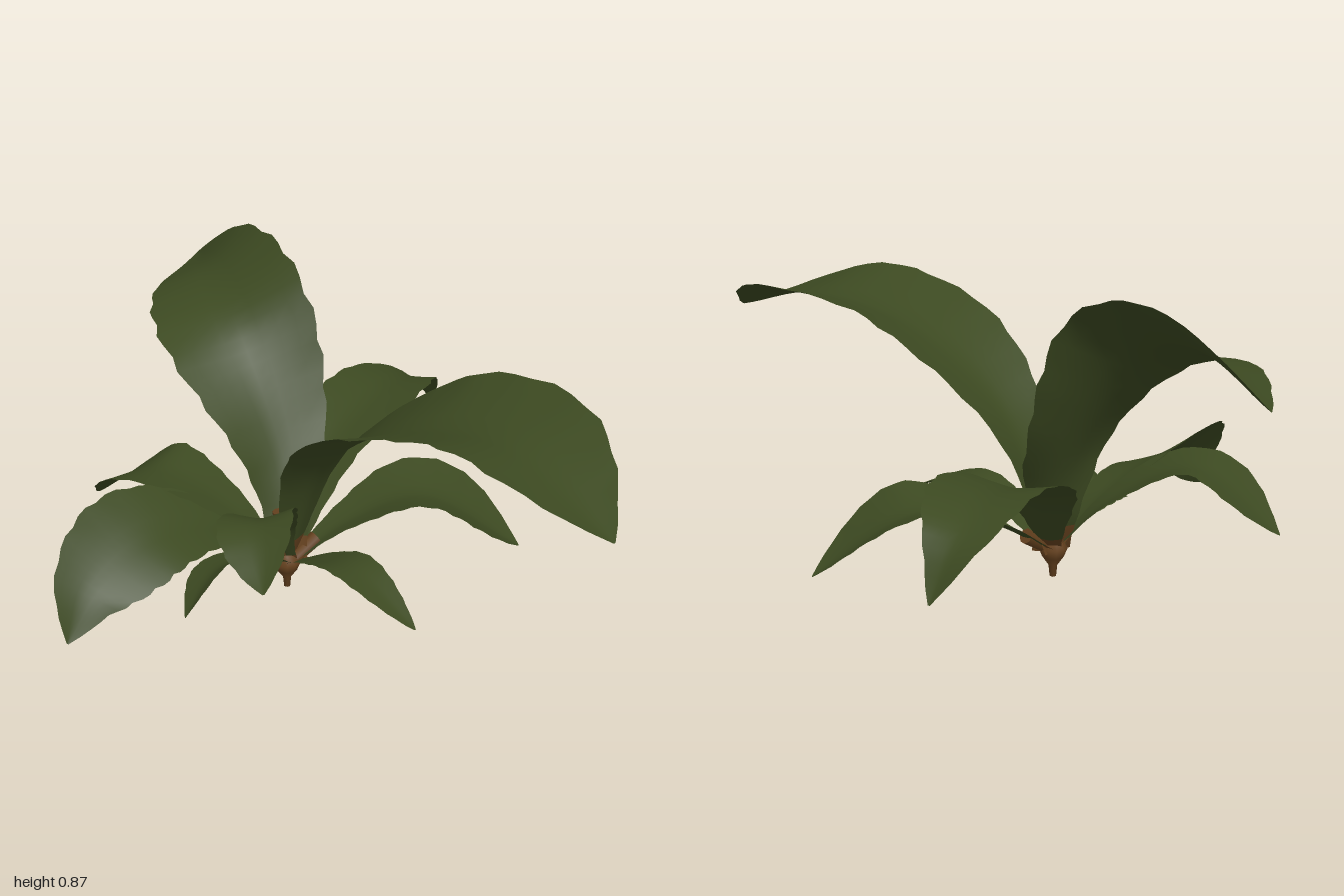
import * as THREE from 'three';

const green = new THREE.MeshStandardMaterial({ color: 0x3c4921, side: THREE.DoubleSide });
green.name = 'leaf green';
const brown = new THREE.MeshStandardMaterial({ color: 0x65411e, side: THREE.DoubleSide });
brown.name = 'stalk brown';

const UP = new THREE.Vector3(0, 1, 0);
const CROWN = new THREE.Vector3(-0.045, 0.075, -0.14);
const ROWS = 32, COLS = 8, STALK_ROWS = 2;

// Sweeps a folded, slightly ragged leaf from the crown along its midrib.
// width: largest half width, peak: where along the leaf it lies, base: half width at the stalk,
// fold: how far the edges rise, roll: sideways twist in degrees reached at the tip
function makeLeaf(name, midrib, { width, peak, base = 0.026, fold = 0.12, roll = 0 }) {
  const spine = new THREE.CatmullRomCurve3([CROWN, ...midrib.map((p) => new THREE.Vector3(...p))]);
  const power = Math.log(0.5) / Math.log(peak);
  const positions = [], index = [];
  for (let i = 0; i <= ROWS; i++) {
    const t = i / ROWS;
    const centre = spine.getPointAt(t);
    const along = spine.getTangentAt(t);
    const swell = Math.max(0, Math.sin(Math.PI * Math.pow(t, power)));
    const half = Math.hypot(width * Math.pow(swell, 0.9), base * (1 - t)) + 0.003;
    const side = new THREE.Vector3().crossVectors(UP, along).normalize()
      .applyAxisAngle(along, THREE.MathUtils.degToRad(roll) * t);
    const normal = new THREE.Vector3().crossVectors(along, side);
    for (let j = 0; j <= COLS; j++) {
      const v = (j / COLS) * 2 - 1;
      const ragged = 1 + 0.035 * Math.sin(i * 2.1 + width * 90 + (v > 0 ? 2 : 0)) * Math.abs(v);
      const p = centre.clone()
        .addScaledVector(side, v * half * ragged)
        .addScaledVector(normal, fold * half * Math.pow(Math.abs(v), 1.3));
      positions.push(p.x, p.y, p.z);
      if (i < ROWS && j < COLS) {
        const a = i * (COLS + 1) + j, b = a + COLS + 1;
        index.push(a, b, a + 1, b, b + 1, a + 1);
      }
    }
  }
  const geometry = new THREE.BufferGeometry();
  geometry.setAttribute('position', new THREE.Float32BufferAttribute(positions, 3));
  geometry.setIndex(index);
  geometry.computeVertexNormals();
  // The first rows are the brown stalk of the leaf
  const stalk = STALK_ROWS * COLS * 6;
  geometry.addGroup(0, stalk, 0);
  geometry.addGroup(stalk, index.length - stalk, 1);
  const mesh = new THREE.Mesh(geometry, [brown, green]);
  mesh.name = name;
  return mesh;
}

export function createModel() {
  const model = new THREE.Group();
  model.name = 'leafyPlant';

  // Two large arching leaves
  model.add(
    makeLeaf('frontLargeLeaf', [[-0.03, 0.42, 0], [-0.005, 0.635, 0.28], [0.05, 0.71, 0.6], [0, 0.62, 1]],
      { width: 0.245, peak: 0.6, base: 0.05, fold: 0.24 }),
    makeLeaf('backLargeLeaf', [[0.01, 0.33, -0.22], [0.035, 0.67, -0.46], [0.125, 0.745, -0.7], [0.285, 0.68, -1]],
      { width: 0.21, peak: 0.57, base: 0.05, fold: 0.2, roll: -40 }),
  );

  // Middle leaves, spread to the sides
  model.add(
    makeLeaf('rightLeaf', [[0.17, 0.305, -0.25], [0.45, 0.4, -0.33], [0.66, 0.355, -0.41], [0.77, 0.23, -0.42]],
      { width: 0.14, peak: 0.56, fold: 0.16 }),
    makeLeaf('frontRightLeaf', [[0.13, 0.185, -0.075], [0.31, 0.245, 0.025], [0.52, 0.08, 0.21]],
      { width: 0.155, peak: 0.64, fold: 0.24 }),
    makeLeaf('leftLeaf', [[-0.2, 0.22, -0.2], [-0.45, 0.28, -0.225], [-0.66, 0.215, -0.19], [-0.77, 0.1, -0.145]],
      { width: 0.145, peak: 0.6, roll: -52 }),
    makeLeaf('backLeftLeaf', [[-0.14, 0.23, -0.27], [-0.26, 0.325, -0.46], [-0.31, 0.17, -0.69]],
      { width: 0.13, peak: 0.62 }),
    makeLeaf('frontLeftLeaf', [[-0.13, 0.24, -0.08], [-0.28, 0.36, 0.03], [-0.4, 0.27, 0.21]],
      { width: 0.1, peak: 0.65, fold: 0.2, roll: 20 }),
  );

  // Small lower leaves
  model.add(
    makeLeaf('lowerLeftLeaf', [[-0.18, 0.155, -0.12], [-0.34, 0.18, -0.09], [-0.47, 0.11, -0.04]],
      { width: 0.075, peak: 0.6, fold: 0.2, roll: 40 }),
    makeLeaf('lowerFrontLeaf', [[-0.07, 0.17, 0.03], [-0.08, 0.215, 0.18], [-0.07, 0.135, 0.42]],
      { width: 0.065, peak: 0.55 }),
  );

  // Pointed root and crown
  const profile = [[0, 0], [0.009, 0.004], [0.012, 0.035], [0.03, 0.06], [0.04, 0.085], [0.025, 0.11], [0, 0.115]];
  const root = new THREE.Mesh(new THREE.LatheGeometry(profile.map(([r, y]) => new THREE.Vector2(r, y)), 10), brown);
  root.name = 'root';
  root.position.set(-0.05, 0, -0.14);
  model.add(root);

  // Short cut stalks in the heart of the plant
  for (const [x, y, z, tiltX, tiltZ] of [[-0.045, 0.17, -0.165, -0.1, 0.05], [-0.01, 0.105, -0.125, 0.2, -1]]) {
    const stub = new THREE.Mesh(new THREE.CylinderGeometry(0.022, 0.016, 0.12, 8), brown);
    stub.name = 'heartStalk';
    stub.position.set(x, y, z);
    stub.rotation.set(tiltX, 0, tiltZ);
    model.add(stub);
  }
  return model;
}
